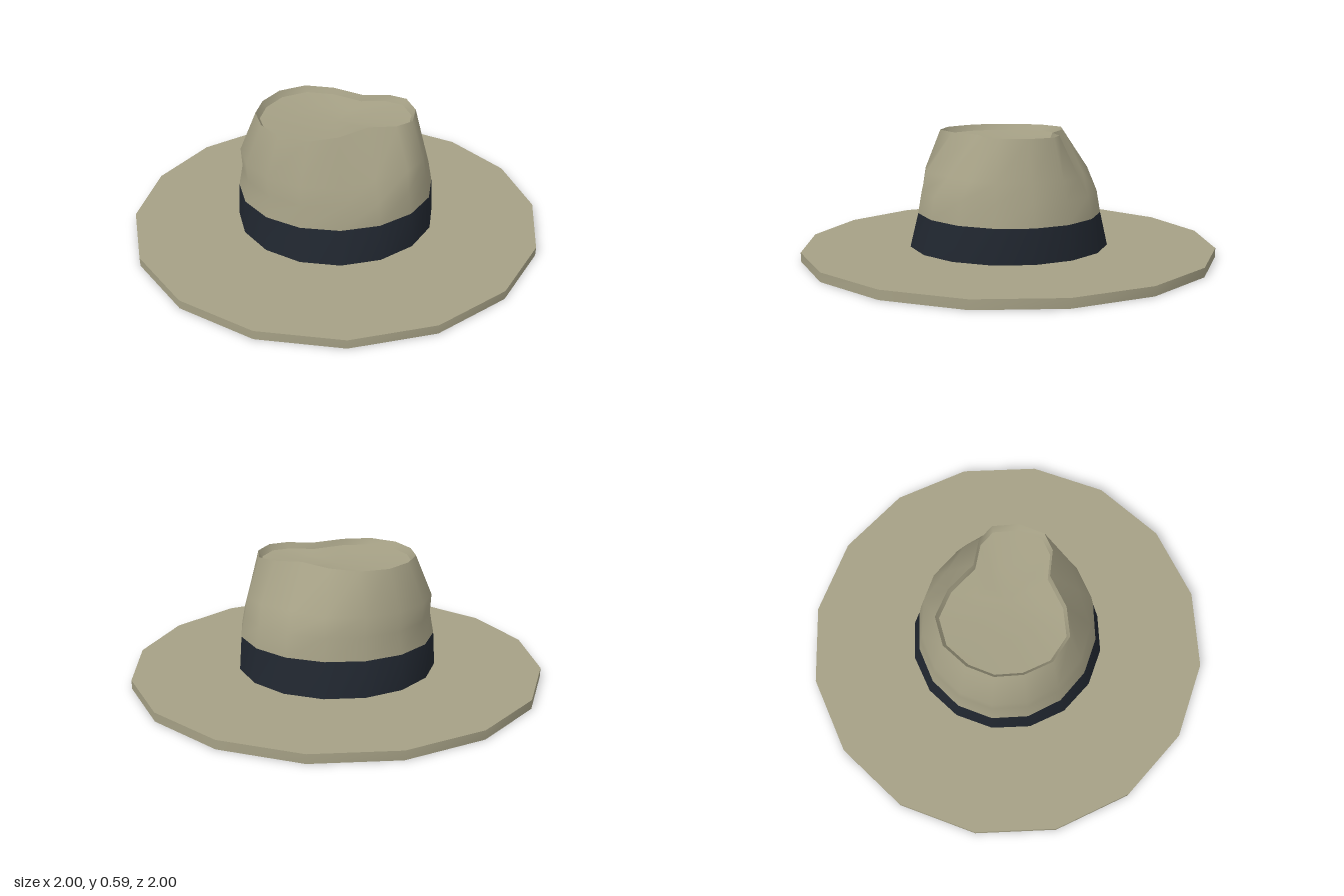
import * as THREE from 'three';
import { toCreasedNormals } from 'three/addons/utils/BufferGeometryUtils.js';

const SIDES = 16;

// A ring is SIDES points around y; its radii may differ in x and z
function ellipse(rx, rz, y) {
  return Array.from({ length: SIDES }, (_, i) => {
    const a = (i / SIDES) * Math.PI * 2;
    return [Math.cos(a) * rx, y, Math.sin(a) * rz];
  });
}

// Ring from the half outline (z >= 0), mirrored to the other side
function mirrored(half, y) {
  return Array.from({ length: SIDES }, (_, i) => {
    const [x, z] = half[i <= 8 ? i : SIDES - i];
    return [x, y, i <= 8 ? z : -z];
  });
}

function scaled(ring, s, y) {
  return ring.map(p => [p[0] * s, y, p[2] * s]);
}

// Skin a list of rings; outside faces out when the rings run upwards
function loft(rings, crease) {
  const index = [];
  for (let r = 0; r < rings.length - 1; r++) {
    for (let i = 0; i < SIDES; i++) {
      const a = r * SIDES + i, b = r * SIDES + (i + 1) % SIDES;
      index.push(a, a + SIDES, b, b, a + SIDES, b + SIDES);
    }
  }
  const g = new THREE.BufferGeometry();
  g.setAttribute('position', new THREE.Float32BufferAttribute(rings.flat(2), 3));
  g.setIndex(index);
  return toCreasedNormals(g, crease);
}

export function createModel() {
  const hat = new THREE.Group();
  hat.name = 'hat';
  const felt = new THREE.MeshStandardMaterial({ color: 0xa5a085, side: THREE.DoubleSide });
  const ribbon = new THREE.MeshStandardMaterial({ color: 0x20262f, side: THREE.DoubleSide });
  const add = (name, rings, material, crease = 0.9) => {
    const mesh = new THREE.Mesh(loft(rings, crease), material);
    mesh.name = name;
    hat.add(mesh);
  };

  // Shared crown sections; the pinch sits towards +x
  const foot = ellipse(0.485, 0.485, 0.043);
  const bandTop = ellipse(0.475, 0.445, 0.205);
  const lower = ellipse(0.455, 0.427, 0.31);
  const shoulder = mirrored([
    [0.43, 0], [0.405, 0.155], [0.32, 0.255], [0.165, 0.325], [0, 0.405],
    [-0.176, 0.38], [-0.325, 0.29], [-0.425, 0.157], [-0.46, 0]], 0.4);
  const rim = mirrored([
    [0.38, 0], [0.35, 0.125], [0.27, 0.175], [0.14, 0.18], [0, 0.275],
    [-0.14, 0.31], [-0.27, 0.25], [-0.35, 0.13], [-0.38, 0]], 0.59);

  // Flat brim with the head opening
  add('brim', [
    ellipse(0.455, 0.455, 0), ellipse(1, 1, 0),
    ellipse(1, 1, 0.043), foot], felt);

  // Ribbon around the foot of the crown
  add('band', [foot, bandTop], ribbon);

  // Crown wall and its slightly sunken top
  add('crown', [
    bandTop, lower, shoulder, rim,
    scaled(rim, 0.95, 0.56), scaled(rim, 0.5, 0.545), scaled(rim, 0, 0.54)], felt);

  // Inside of the crown, from the ceiling down to the opening
  add('lining', [
    scaled(rim, 0, 0.52), scaled(rim, 0.93, 0.53), scaled(shoulder, 0.94, 0.39),
    scaled(lower, 0.94, 0.3), ellipse(0.455, 0.455, 0)], felt);

  return hat;
}
